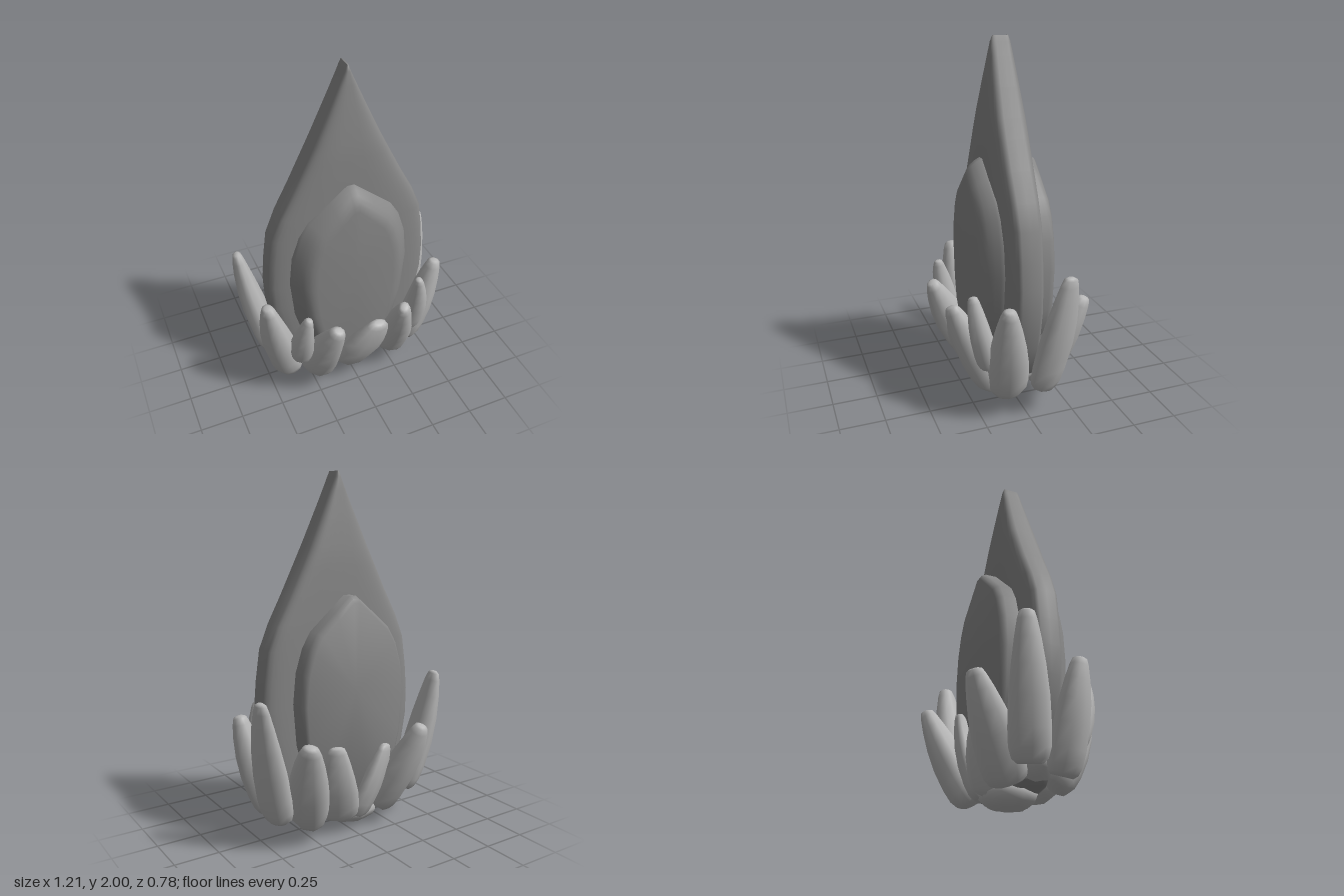
import * as THREE from 'three';
import { toCreasedNormals } from 'three/addons/utils/BufferGeometryUtils.js';

const flameMaterial = new THREE.MeshStandardMaterial({ color: 0x888888 });
const petalMaterial = new THREE.MeshStandardMaterial({ color: 0xb6b6b6 });

// Skin through closed loops of points, counterclockwise about the travel direction, capped at both ends
function loft(loops) {
  const n = loops[0].length;
  const points = loops.flat();
  const index = [];
  for (let i = 0; i < loops.length - 1; i++) {
    for (let j = 0; j < n; j++) {
      const a = i * n + j, b = i * n + (j + 1) % n;
      index.push(a, b, b + n, a, b + n, a + n);
    }
  }
  for (const [loop, start, last] of [[loops[0], 0, false], [loops.at(-1), points.length - n, true]]) {
    const centre = new THREE.Vector3();
    loop.forEach((p) => centre.addScaledVector(p, 1 / n));
    const c = points.push(centre) - 1;
    for (let j = 0; j < n; j++) {
      const a = start + j, b = start + (j + 1) % n;
      index.push(...(last ? [c, a, b] : [c, b, a]));
    }
  }
  const geometry = new THREE.BufferGeometry().setFromPoints(points);
  geometry.setIndex(index);
  geometry.computeVertexNormals();
  return geometry;
}

function addMesh(group, name, geometry, material) {
  const mesh = new THREE.Mesh(geometry, material);
  mesh.name = name;
  group.add(mesh);
}

const signedPow = (v, e) => Math.sign(v) * Math.abs(v) ** e;

// Thick teardrop slab: rounded-rectangle sections stacked upward
function flameGeometry() {
  // height, half width, half depth, x offset
  const sections = [
    [0.05, 0.1, 0.06, -0.04], [0.1, 0.27, 0.1, 0], [0.2, 0.37, 0.107, 0.01],
    [0.4, 0.45, 0.107, 0.01], [0.6, 0.485, 0.107, 0.01], [0.75, 0.488, 0.107, 0.01],
    [0.9, 0.475, 0.107, 0.01], [1.07, 0.45, 0.107, 0.01], [1.2, 0.395, 0.107, 0.01],
    [1.35, 0.312, 0.107, 0.01], [1.5, 0.235, 0.104, 0.01], [1.6, 0.185, 0.099, 0.01],
    [1.75, 0.115, 0.084, 0.01], [1.9, 0.047, 0.066, 0.01], [1.97, 0.016, 0.055, 0.01],
    [2.0, 0.004, 0.044, 0.01],
  ];
  return loft(sections.map(([y, w, d, x0]) => Array.from({ length: 40 }, (_, j) => {
    const a = (j / 40) * Math.PI * 2;
    return new THREE.Vector3(
      x0 + w * signedPow(Math.sin(a), 0.65), y, d * signedPow(Math.cos(a), 0.42));
  })));
}

// Smaller pointed panel: softly bevelled on the front face, crisper on the back
function panelGeometry() {
  const right = [[0.1, 0.15], [0.26, 0.3], [0.32, 0.55], [0.337, 0.78], [0.32, 0.95],
    [0.28, 1.08], [0.23, 1.165], [0.12, 1.26], [0.02, 1.345]];
  const outline = [...right, ...right.map(([x, y]) => [-x, y]).reverse()];
  // depth, x scale, y scale
  const layers = [[-0.207, 0.92, 0.95], [-0.195, 0.97, 0.98], [-0.17, 1, 1], [-0.09, 1, 1],
    [0.09, 1.08, 1.02], [0.115, 1.03, 1.01], [0.14, 0.97, 0.99], [0.165, 0.91, 0.96],
    [0.185, 0.84, 0.92], [0.197, 0.77, 0.88], [0.201, 0.69, 0.83]];
  return toCreasedNormals(loft(layers.map(([z, sx, sy]) => outline.map(([x, y]) =>
    new THREE.Vector3(x * sx, 0.7 + (y - 0.7) * sy, z)))), 0.8);
}

// Lumpy, blunt petal leaning outward from base to tip
function petalGeometry(base, tip, width, depth, seed) {
  const start = new THREE.Vector3(...base), end = new THREE.Vector3(...tip);
  const outward = new THREE.Vector3(base[0] + tip[0], 0, base[2] + tip[2]).normalize();
  const middle = start.clone().lerp(end, 0.5).addScaledVector(outward, 0.03);
  const curve = new THREE.QuadraticBezierCurve3(start, middle, end);
  const profile = [[0, 0.55], [0.03, 0.78], [0.1, 0.94], [0.22, 1], [0.42, 0.98],
    [0.62, 0.85], [0.8, 0.66], [0.93, 0.48], [0.985, 0.36], [1, 0.2]];
  return loft(profile.map(([t, r], i) => {
    const along = curve.getTangent(t);
    const side = along.clone().cross(outward).normalize();
    const out = side.clone().cross(along);
    const centre = curve.getPoint(t);
    return Array.from({ length: 10 }, (_, j) => {
      const a = (j / 10) * Math.PI * 2;
      const lump = 1 + 0.07 * Math.sin(seed * 2.3 + a * 2 + i * 0.5);
      return centre.clone()
        .addScaledVector(out, Math.cos(a) * depth * r * lump)
        .addScaledVector(side, Math.sin(a) * width * r * lump);
    });
  }));
}

export function createModel() {
  const model = new THREE.Group();
  model.name = 'flameBud';
  addMesh(model, 'flame', flameGeometry(), flameMaterial);
  addMesh(model, 'innerPanel', panelGeometry(), flameMaterial);

  // Base that closes the underside, with a low point slightly off centre
  const base = new THREE.SphereGeometry(1, 14, 10);
  base.scale(0.4, 0.13, 0.17).translate(0, 0.2, 0);
  addMesh(model, 'base', base, petalMaterial);
  const keel = new THREE.SphereGeometry(1, 9, 8);
  keel.scale(0.2, 0.09, 0.15).rotateZ(0.15).translate(-0.04, 0.093, -0.04);
  addMesh(model, 'keel', keel, petalMaterial);

  // base, tip, half width, half depth
  const petals = {
    frontPetal: [[0.0, 0.1, 0.13], [0.1, 0.49, 0.31], 0.14, 0.085],
    frontRightPetal: [[-0.245, 0.1, 0.12], [-0.175, 0.58, 0.36], 0.11, 0.09],
    frontLeftPetal: [[0.26, 0.1, 0.12], [0.23, 0.61, 0.36], 0.1, 0.09],
    smallRightPetal: [[-0.35, 0.28, 0.19], [-0.32, 0.65, 0.28], 0.068, 0.06],
    smallLeftPetal: [[0.37, 0.28, 0.19], [0.36, 0.71, 0.28], 0.068, 0.06],
    sideRightPetal: [[-0.38, 0.12, 0.09], [-0.515, 0.69, 0.14], 0.105, 0.095],
    sideLeftPetal: [[0.38, 0.12, 0.09], [0.54, 0.69, 0.14], 0.105, 0.095],
    tallRightPetal: [[-0.43, 0.15, -0.1], [-0.58, 0.86, -0.18], 0.11, 0.075],
    tallLeftPetal: [[0.43, 0.14, -0.1], [0.575, 0.84, -0.18], 0.11, 0.075],
    backRightPetal: [[-0.23, 0.1, -0.11], [-0.345, 0.61, -0.355], 0.12, 0.1],
    backLeftPetal: [[0.25, 0.1, -0.11], [0.385, 0.62, -0.355], 0.12, 0.1],
    backInnerRightPetal: [[-0.06, 0.08, -0.13], [-0.18, 0.5, -0.24], 0.115, 0.065],
    backInnerLeftPetal: [[0.07, 0.08, -0.13], [0.15, 0.54, -0.24], 0.12, 0.065],
  };
  Object.entries(petals).forEach(([name, spec], i) =>
    addMesh(model, name, petalGeometry(...spec, i + 1), petalMaterial));
  return model;
}
